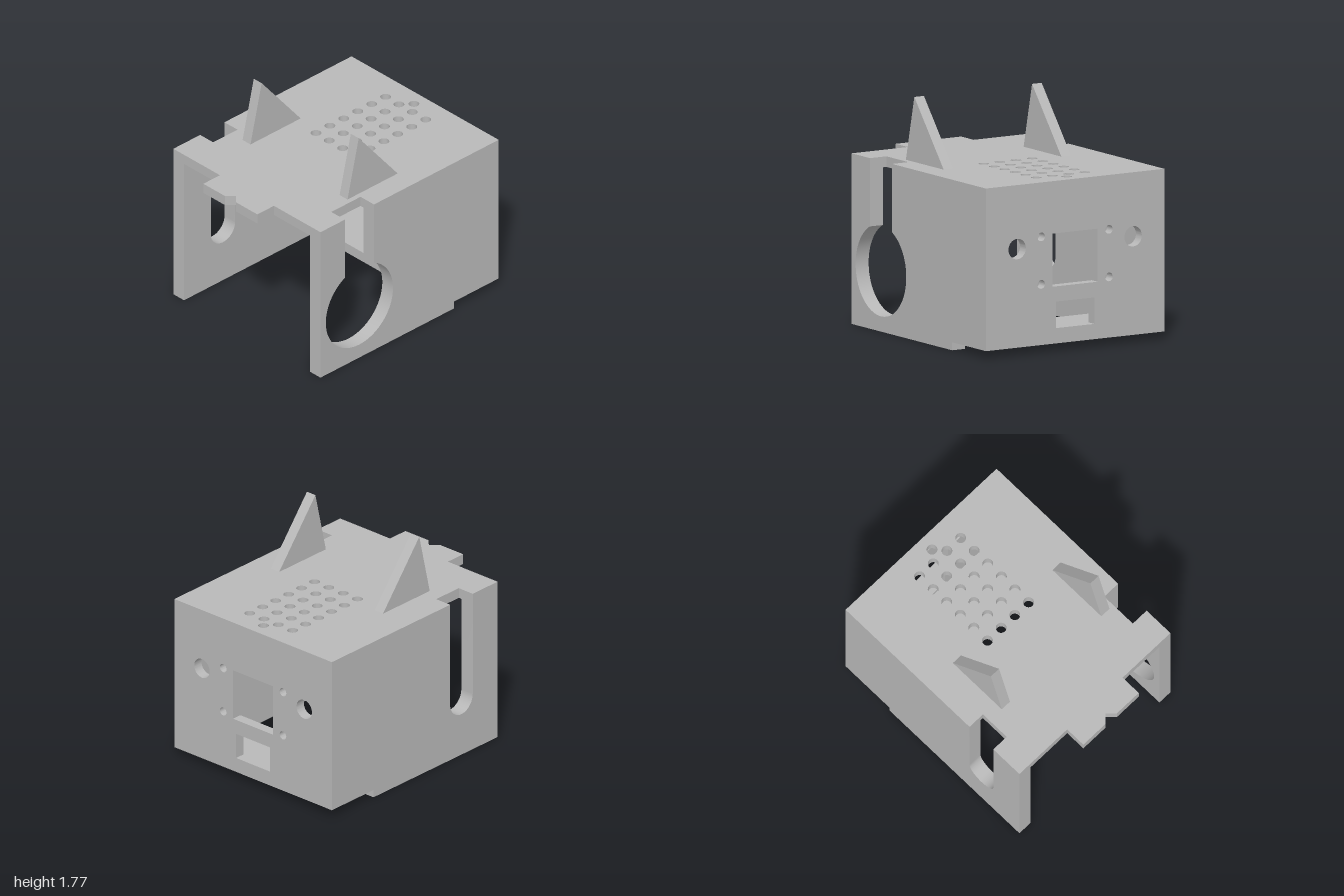
import * as THREE from 'three';
import { toCreasedNormals } from 'three/addons/utils/BufferGeometryUtils.js';

const grey = new THREE.MeshStandardMaterial({ color: 0xb8b8b8 });
grey.name = 'grey plastic';

const TOP = 1.285, CEIL = 1.205, LEFT = -0.83, RIGHT = 1, HALF = 0.79;
const WALL = 0.115, PLATE = 0.08, FLOOR = 0.06, STEP = 0.54;
const INNER = HALF - WALL;          // inner face of the front and back walls
const SLOT_X = -0.43, SLOT_Y = 0.46; // centre shared by both wall cutouts

const polygon = (pts) => new THREE.Shape(pts.map(([x, y]) => new THREE.Vector2(x, y)));

function extrude(shape, depth) {
  const g = new THREE.ExtrudeGeometry(shape, { depth, bevelEnabled: false, curveSegments: 32 });
  return toCreasedNormals(g, 0.6);
}

function addMesh(group, name, geometry) {
  const mesh = new THREE.Mesh(geometry, grey);
  mesh.name = name;
  group.add(mesh);
}

function roundHole(shape, x, y, r) {
  shape.holes.push(new THREE.Path().absarc(x, y, r, 0, Math.PI * 2, true));
}

function rectHole(shape, x0, y0, x1, y1) {
  const p = new THREE.Path();
  p.moveTo(x0, y0).lineTo(x0, y1).lineTo(x1, y1).lineTo(x1, y0).closePath();
  shape.holes.push(p);
}

// Side wall with a stepped foot and a slot open to the top, ending in an arc of radius r
function sideWall(halfSlot, r) {
  const s = polygon([[LEFT, 0], [STEP, 0], [STEP, FLOOR], [RIGHT, FLOOR], [RIGHT, CEIL], [SLOT_X + halfSlot, CEIL]]);
  const a = Math.acos(halfSlot / r);
  s.absarc(SLOT_X, SLOT_Y, r, a, Math.PI - a, true);
  s.lineTo(SLOT_X - halfSlot, CEIL);
  s.lineTo(LEFT, CEIL);
  s.closePath();
  return extrude(s, WALL);
}

export function createModel() {
  const model = new THREE.Group();
  model.name = 'enclosure';

  // Front wall with keyhole, back wall with round-ended slot
  addMesh(model, 'frontWall', sideWall(0.15, 0.345).translate(0, 0, INNER));
  addMesh(model, 'backWall', sideWall(0.125, 0.125).translate(0, 0, -HALF));

  // Top plate, drawn as (x, -z): slot notches, notched tab and vent holes
  const top = polygon([
    [LEFT, -HALF], [-0.58, -HALF], [-0.58, -0.645], [-0.28, -0.645], [-0.28, -HALF],
    [RIGHT, -HALF], [RIGHT, HALF],
    [-0.305, HALF], [-0.305, 0.65], [-0.555, 0.65], [-0.555, HALF], [LEFT, HALF],
    [LEFT, 0.29], [-1, 0.29], [-1, 0.06], [-0.94, 0], [-1, -0.06], [-1, -0.29], [LEFT, -0.29],
  ]);
  for (let i = 0; i < 6; i++) {
    for (let j = 0; j < 4; j++) roundHole(top, 0.085 + i * 0.143, -0.215 + j * 0.1433, 0.04);
  }
  roundHole(top, 0.885, 0, 0.04);
  addMesh(model, 'topPlate', extrude(top, PLATE).rotateX(-Math.PI / 2).translate(0, CEIL, 0));

  // Right wall, drawn as (-z, y): two windows, sensor holes and screw holes
  const side = polygon([[-INNER, FLOOR], [INNER, FLOOR], [INNER, CEIL], [-INNER, CEIL]]);
  rectHole(side, -0.2, 0.49, 0.2, 0.89);
  rectHole(side, -0.17, 0.175, 0.17, 0.375);
  for (const s of [-1, 1]) {
    roundHole(side, s * 0.513, 0.803, 0.077);
    for (const y of [0.517, 0.875]) roundHole(side, s * 0.3, y, 0.033);
  }
  addMesh(model, 'rightWall', extrude(side, PLATE).rotateY(Math.PI / 2).translate(RIGHT - PLATE, 0, 0));

  // Partial floor beside the right wall
  const floorLeft = 0.43, floorRight = RIGHT - PLATE;
  const floor = new THREE.BoxGeometry(floorRight - floorLeft, PLATE, INNER * 2);
  addMesh(model, 'floor', floor.translate((floorLeft + floorRight) / 2, FLOOR + PLATE / 2, 0));

  // Triangular ears
  const ear = polygon([[-0.375, TOP], [0.14, TOP], [-0.26, 1.775]]);
  addMesh(model, 'frontEar', extrude(ear, 0.085).translate(0, 0, 0.52));
  addMesh(model, 'backEar', extrude(ear, 0.085).translate(0, 0, -0.522));

  return model;
}
